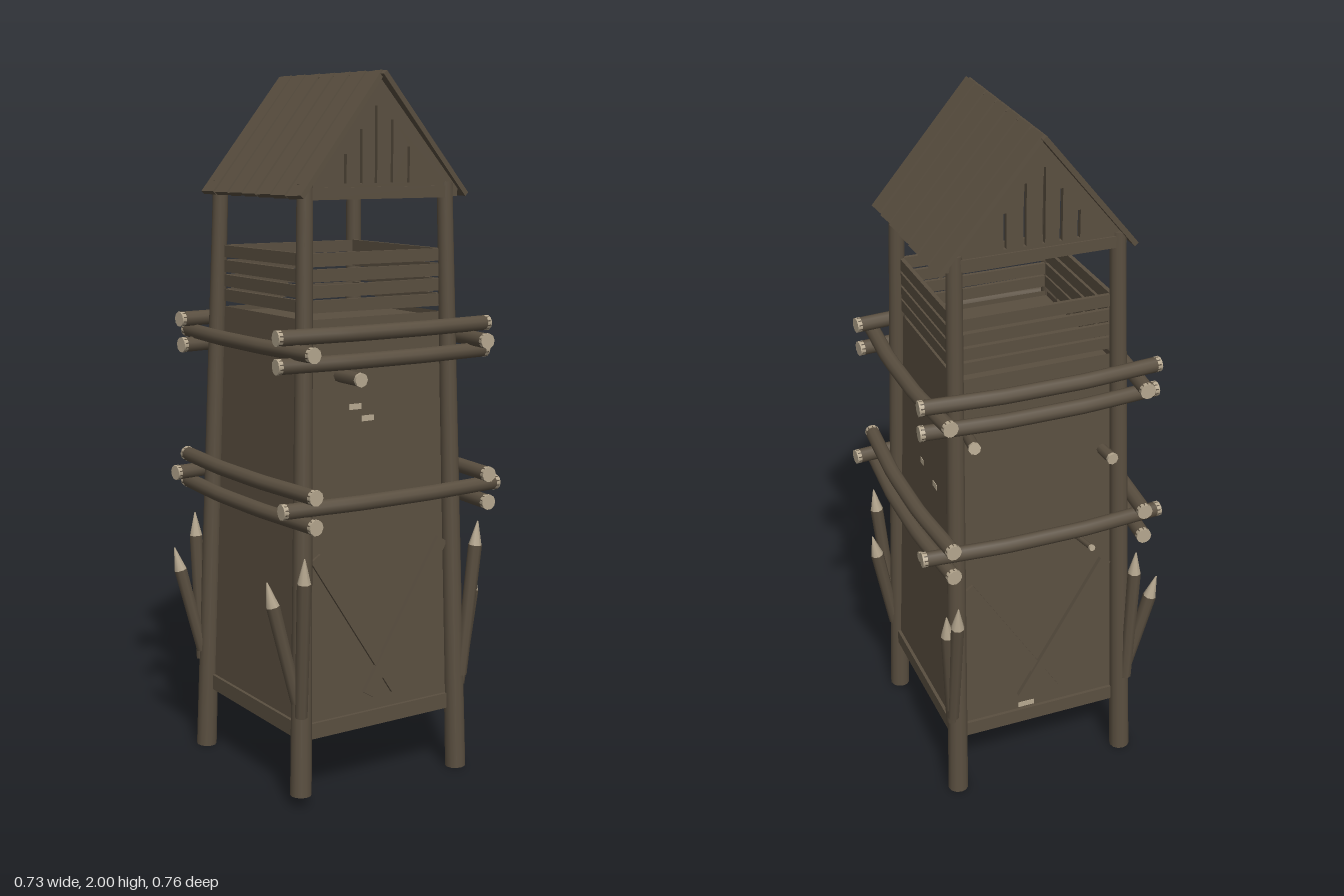
import * as THREE from 'three';

export function createModel() {
  const root = new THREE.Group();
  root.name = 'watchtower';
  const wood = new THREE.MeshStandardMaterial({ color: 0x5a4f40, side: THREE.DoubleSide });
  wood.name = 'weathered wood';
  const cut = new THREE.MeshStandardMaterial({ color: 0xb5a78f });
  cut.name = 'pale cut wood';
  const V = (x, y, z) => new THREE.Vector3(x, y, z);
  const UP = V(0, 1, 0);
  const Q = Math.PI / 2;

  let seed = 7;
  const jitter = (a) => {
    seed = (seed * 16807) % 2147483647;
    return (seed / 2147483647 - 0.5) * 2 * a;
  };

  function add(name, geo, mat, parent = root) {
    const m = new THREE.Mesh(geo, mat);
    m.name = name;
    parent.add(m);
    return m;
  }
  function group(name, turn = 0) {
    const g = new THREE.Group();
    g.name = name;
    g.rotation.y = turn;
    root.add(g);
    return g;
  }
  // round timber between two points
  function rod(name, a, b, ra, rb, mat, parent, sides = 10) {
    const d = b.clone().sub(a);
    const m = add(name, new THREE.CylinderGeometry(rb, ra, d.length(), sides), mat, parent);
    m.position.copy(a).add(b).multiplyScalar(0.5);
    m.quaternion.setFromUnitVectors(UP, d.normalize());
    return m;
  }
  function box(name, w, h, d, x, y, z, parent) {
    const m = add(name, new THREE.BoxGeometry(w, h, d), wood, parent);
    m.position.set(x, y, z);
    return m;
  }

  // tapered tower walls, open at the bottom
  let walls = new THREE.CylinderGeometry(0.224 * Math.SQRT2, 0.262 * Math.SQRT2, 1.16, 4, 1, true);
  walls.rotateY(Math.PI / 4);
  walls = walls.toNonIndexed();
  walls.computeVertexNormals();
  add('walls', walls, wood).position.y = 0.76;
  box('platformFloor', 0.446, 0.015, 0.446, 0, 1.318, 0);

  // corner posts
  for (const sx of [-1, 1]) for (const sz of [-1, 1]) {
    rod('cornerPost', V(sx < 0 ? -0.275 : 0.26, sx < 0 && sz > 0 ? 0.03 : 0, sz * 0.274),
      V(sx * 0.228, 1.7, sz * 0.228), 0.03, 0.022, wood, root, 12);
  }

  // each face of the tower: base trim and open railing
  for (let i = 0; i < 4; i++) {
    const side = group('towerSide', i * Q);
    box('baseTrim', 0.49, 0.045, 0.014, 0, 0.203, 0.263, side);
    [1.374, 1.415, 1.457, 1.5].forEach((y) => {
      box('railBoard', 0.43, 0.034, 0.012, 0, y, 0.222, side).rotation.z = jitter(0.005);
    });
  }

  // crossed braces on front and back
  for (const turn of [0, Math.PI]) {
    const braces = group('crossBraces', turn);
    for (const k of [-1, 1]) {
      const a = V(k * 0.212, 0.69, 0), b = V(-k * 0.05, 0.275, 0);
      const m = box('brace', 0.036, a.distanceTo(b), 0.014, (a.x + b.x) / 2, 0.4825, 0.258 + k * 0.004, braces);
      m.rotation.set(-0.033, 0, Math.atan2(b.x - a.x, a.y - b.y));
    }
  }

  // ring logs bent at two knees, with pale sawn ends; offset = wall distance at the tips
  function ringLog(turn, y, from, to, offset) {
    const g = group('ringLog', turn);
    const r = 0.0215, mid = offset + 0.019;
    const curve = new THREE.CatmullRomCurve3(
      [V(from, y, offset), V(-0.12, y, mid), V(0.12, y, mid), V(to, y, offset)], false, 'catmullrom', 0.1);
    add('log', new THREE.TubeGeometry(curve, 12, r, 10), wood, g);
    for (const t of [0, 1]) {
      const p = curve.getPoint(t), d = curve.getTangent(t).multiplyScalar(t ? 1 : -1);
      rod('sawnEnd', p.clone().addScaledVector(d, -0.01), p.clone().addScaledVector(d, 0.004),
        r + 0.0005, r + 0.0005, cut, g);
    }
  }
  for (const turn of [0, Math.PI]) {
    ringLog(turn, 1.305, -0.345, 0.345, turn ? 0.268 : 0.275);
    ringLog(turn, 1.23, -0.345, 0.34, turn ? 0.268 : 0.275);
    ringLog(turn, 0.85, -0.355, 0.355, turn ? 0.29 : 0.315);
  }
  for (const s of [1, -1]) {
    const lo = s > 0 ? -0.335 : -0.36, hi = s > 0 ? 0.36 : 0.335;
    ringLog(s * Q, 1.265, -hi, -lo, 0.284);
    ringLog(s * Q, 0.89, -hi - 0.015, -lo + 0.01, 0.285);
    ringLog(s * Q, 0.81, -hi - 0.015, -lo + 0.01, 0.285);
  }

  // sharpened stakes bound to the posts: base, tip
  const stakes = [
    [V(-0.285, 0.3, 0.27), V(-0.365, 0.645, 0.25)],
    [V(-0.28, 0.26, 0.285), V(-0.30, 0.72, 0.338)],
    [V(0.27, 0.25, 0.27), V(0.335, 0.59, 0.257)],
    [V(0.27, 0.28, 0.28), V(0.314, 0.735, 0.293)],
    [V(0.275, 0.28, -0.285), V(0.28, 0.71, -0.36)],
    [V(0.275, 0.26, -0.275), V(0.305, 0.67, -0.33)],
    [V(-0.285, 0.3, -0.275), V(-0.36, 0.62, -0.30)],
    [V(-0.28, 0.27, -0.285), V(-0.29, 0.72, -0.30)],
  ];
  stakes.forEach(([a, b]) => {
    const g = group('stake');
    const neck = b.clone().addScaledVector(b.clone().sub(a).normalize(), -0.07);
    rod('shaft', a, neck, 0.018, 0.02, wood, g, 8);
    rod('sharpTip', neck, b, 0.019, 0.002, cut, g, 8);
  });

  // stub pegs sticking out of the walls: root, end, radius
  const pegs = [
    [V(-0.12, 1.185, 0.22), V(-0.12, 1.185, 0.335), 0.019],
    [V(-0.1, 0.81, -0.24), V(-0.11, 0.83, -0.38), 0.008],
    [V(0.24, 0.775, -0.165), V(0.322, 0.775, -0.165), 0.014],
    [V(0.2, 1.18, -0.22), V(0.222, 1.2, -0.345), 0.016],
    [V(-0.2, 1.05, -0.22), V(-0.205, 1.05, -0.295), 0.016],
  ];
  pegs.forEach(([a, b, r]) => {
    const g = group('peg');
    rod('pegShaft', a, b, r, r, wood, g, 8);
    const d = b.clone().sub(a).normalize();
    rod('pegEnd', b.clone().addScaledVector(d, -0.006), b.clone().addScaledVector(d, 0.003), r + 0.001, r + 0.001, cut, g, 8);
  });

  // bare chips flush with the walls: side turn, across, height, width
  [[0, -0.07, 1.095, 0.04], [0, -0.03, 1.06, 0.04], [Q, -0.07, 1.1, 0.02],
    [Q, -0.045, 0.955, 0.025], [Q, 0.065, 0.935, 0.035], [Math.PI, -0.035, 0.238, 0.05]].forEach(([turn, x, y, w]) => {
    const m = add('chip', new THREE.BoxGeometry(w, 0.016, 0.004), cut, group('chippedSpot', turn));
    m.position.set(x, y, 0.262 - (y - 0.18) * 0.033);
    m.rotation.x = -0.033;
  });

  // gables: plank triangle with slits, plus a tie beam
  const tri = new THREE.Shape();
  tri.moveTo(-0.247, 1.66);
  tri.lineTo(0.262, 1.66);
  tri.lineTo(0.262, 1.69);
  tri.lineTo(0, 1.984);
  tri.lineTo(-0.247, 1.69);
  [-0.11, -0.06, -0.012, 0.04, 0.095].forEach((x) => {
    const top = 1.92 - 1.3 * Math.abs(x);
    const slit = new THREE.Path();
    slit.moveTo(x - 0.004, 1.7);
    slit.lineTo(x - 0.004, top);
    slit.lineTo(x + 0.004, top);
    slit.lineTo(x + 0.004, 1.7);
    tri.holes.push(slit);
  });
  for (const z of [-0.235, 0.235]) {
    const g = group('gable');
    add('gableBoards', new THREE.ExtrudeGeometry(tri, { depth: 0.014, bevelEnabled: false }), wood, g)
      .position.z = z - 0.007;
    box('tieBeam', 0.44, 0.032, 0.024, 0, 1.674, z, g);
  }

  // roof: seven uneven planks on each slope
  for (const s of [-1, 1]) {
    const slope = group('roofSlope');
    const eave = s < 0 ? -0.265 : 0.283, rise = 0.32;
    slope.position.set(eave / 2, 1.989 - rise / 2, 0);
    slope.rotation.z = -s * Math.atan2(rise, Math.abs(eave));
    for (let i = 0; i < 7; i++) {
      const m = box('roofPlank', Math.hypot(eave, rise) + 0.008, 0.014, 0.066 + jitter(0.004),
        0, 0, (i - 3) * 0.0775 - 0.002, slope);
      m.rotation.y = 0.042 + jitter(0.015);
    }
  }
  return root;
}
